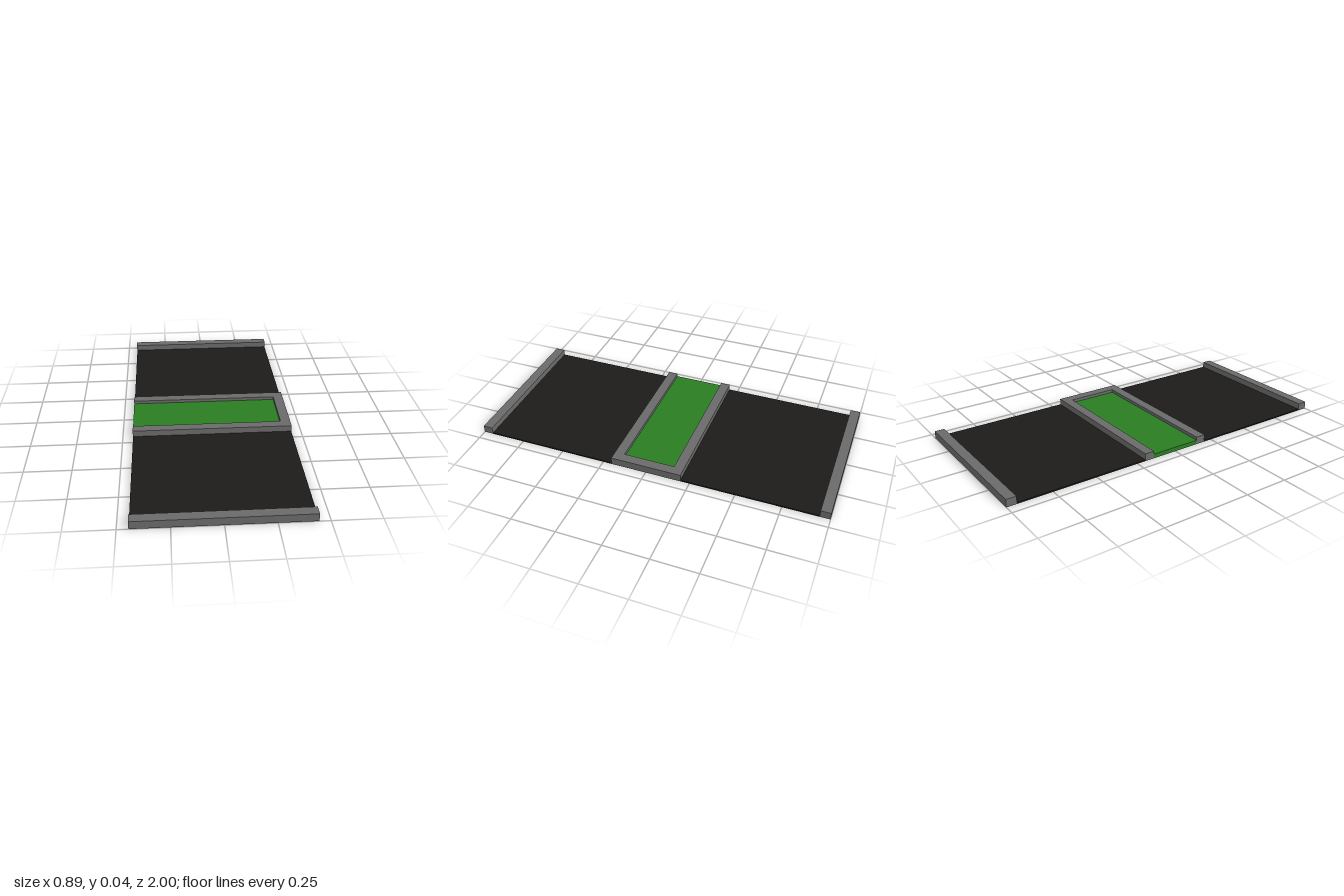
import * as THREE from 'three';

const HALF_W = 0.444, HEIGHT = 0.043, EDGE = 0.055, LIFT = 0.001;
const MEDIAN = 0.2; // half depth of the central strip

export function createModel() {
  const model = new THREE.Group();
  model.name = 'dividedRoad';
  const asphalt = new THREE.MeshStandardMaterial({ color: 0x1c1b19 });
  const stone = new THREE.MeshStandardMaterial({ color: 0x6a6a6a });
  const green = new THREE.MeshStandardMaterial({ color: 0x2a7d22 });

  const add = (name, geometry, material) => {
    const mesh = new THREE.Mesh(geometry, material);
    mesh.name = name;
    model.add(mesh);
    return mesh;
  };
  // box given by its lower and upper corners
  const box = (name, material, [x0, y0, z0], [x1, y1, z1]) => {
    const mesh = add(name, new THREE.BoxGeometry(x1 - x0, y1 - y0, z1 - z0), material);
    mesh.position.set((x0 + x1) / 2, (y0 + y1) / 2, (z0 + z1) / 2);
  };

  // thin road slab under everything, just inside the kerb faces
  box('roadSurface', asphalt, [-HALF_W + LIFT, 0, -1 + LIFT], [HALF_W - LIFT, 0.008, 1 - LIFT]);

  // kerbs along both outer edges
  box('frontKerb', stone, [-HALF_W, LIFT, 1 - EDGE], [HALF_W, HEIGHT, 1]);
  box('backKerb', stone, [-HALF_W, LIFT, -1], [HALF_W, HEIGHT, -1 + EDGE]);

  // U-shaped median kerb, open at -x
  const inner = MEDIAN - EDGE, end = HALF_W - EDGE;
  const outline = new THREE.Shape([
    [-HALF_W, -MEDIAN], [HALF_W, -MEDIAN], [HALF_W, MEDIAN], [-HALF_W, MEDIAN],
    [-HALF_W, inner], [end, inner], [end, -inner], [-HALF_W, -inner],
  ].map(([x, y]) => new THREE.Vector2(x, y)));
  const frame = new THREE.ExtrudeGeometry(outline, { depth: HEIGHT - LIFT, bevelEnabled: false });
  frame.rotateX(-Math.PI / 2).translate(0, LIFT, 0);
  add('medianKerb', frame, stone);

  // sunken grass filling the median
  box('medianGrass', green, [-HALF_W, LIFT, -inner], [end, 0.025, inner]);

  return model;
}
